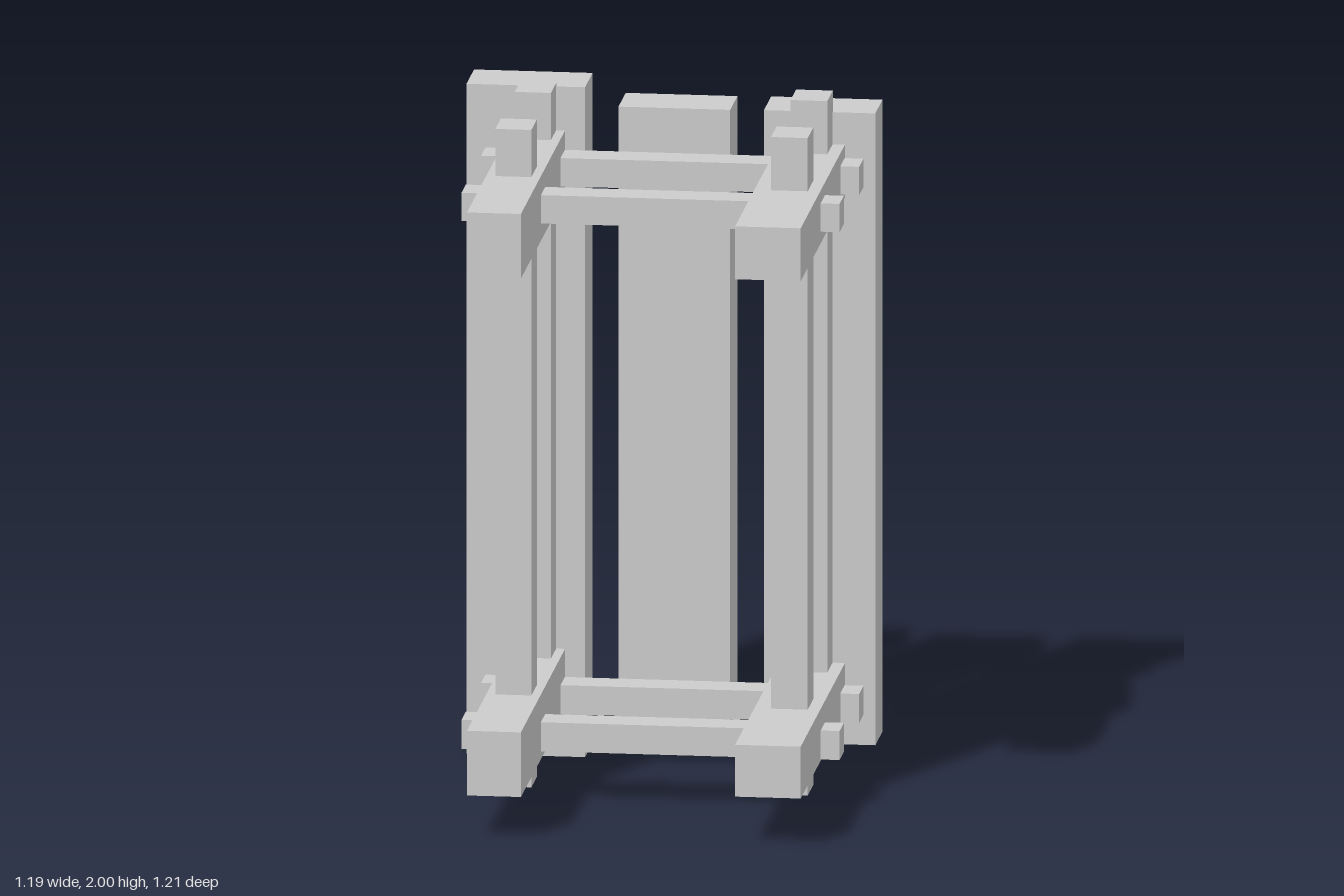
import * as THREE from 'three';

const material = new THREE.MeshStandardMaterial({ color: 0xcccccc, flatShading: true });

// Box spanning [min, max] along each axis
function addBeam(parent, name, [x0, x1], [y0, y1], [z0, z1]) {
  const mesh = new THREE.Mesh(new THREE.BoxGeometry(x1 - x0, y1 - y0, z1 - z0), material);
  mesh.position.set((x0 + x1) / 2, (y0 + y1) / 2, (z0 + z1) / 2);
  mesh.name = name;
  parent.add(mesh);
}

export function createModel() {
  const model = new THREE.Group();
  model.name = 'timberFrame';

  // Back planks, slightly uneven
  addBeam(model, 'rightPlank', [-0.597, -0.252], [0, 1.99], [-0.605, -0.428]);
  addBeam(model, 'middlePlank', [-0.154, 0.171], [0.06, 1.937], [-0.592, -0.422]);
  addBeam(model, 'leftPlank', [0.268, 0.592], [0.06, 1.937], [-0.601, -0.431]);

  // Each side: two posts and two front-to-back beams
  const sides = [
    { name: 'right', post: [-0.441, -0.336], beam: [-0.467, -0.31], heights: [[0.128, 0.32], [1.668, 1.86]] },
    { name: 'left', post: [0.361, 0.468], beam: [0.313, 0.504], heights: [[0.148, 0.302], [1.685, 1.842]] },
  ];
  for (const side of sides) {
    for (const z of [[0.02, 0.15], [-0.436, -0.306]])
      addBeam(model, side.name + 'Post', side.post, [0.047, 2], z);
    for (const y of side.heights)
      addBeam(model, side.name + 'Beam', side.beam, y, [-0.43, 0.602]);
  }

  // Cross rails passing through the side beams
  for (const y of [[0.152, 0.238], [1.72, 1.804]])
    for (const z of [[0.035, 0.137], [-0.422, -0.32]])
      addBeam(model, 'crossRail', [-0.541, 0.559], y, z);

  return model;
}
